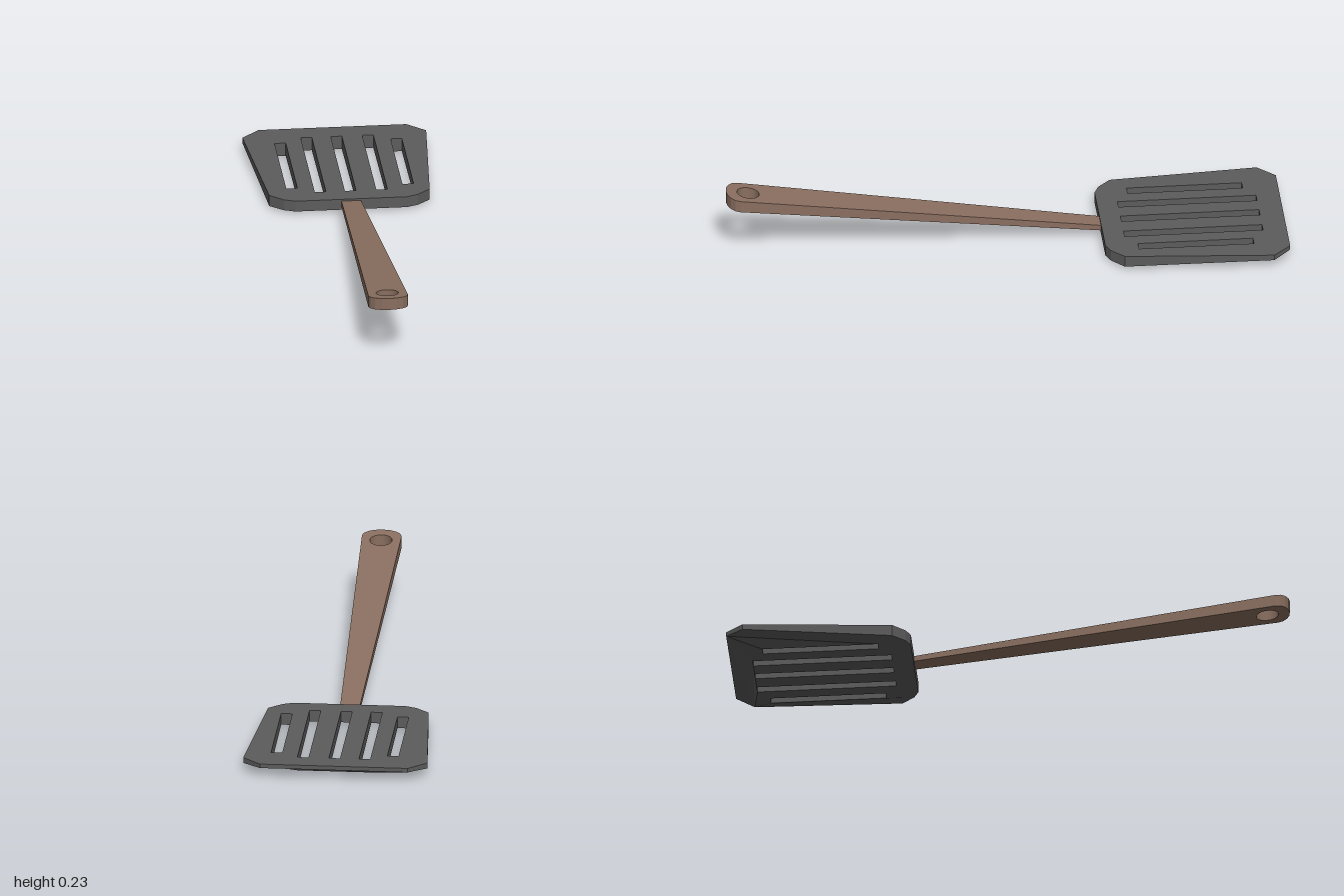
import * as THREE from 'three';

// Outline points are [x, z]; the slab is lifted between bottom(x, z) and top(x, z).
function slab(name, shape, bottom, top, material) {
  const geo = new THREE.ExtrudeGeometry(shape, { depth: 1, bevelEnabled: false, curveSegments: 16 });
  geo.rotateX(-Math.PI / 2);
  const p = geo.attributes.position;
  for (let i = 0; i < p.count; i++) {
    const x = p.getX(i), z = p.getZ(i);
    p.setY(i, p.getY(i) > 0.5 ? top(x, z) : bottom(x, z));
  }
  geo.computeVertexNormals();
  const mesh = new THREE.Mesh(geo, material);
  mesh.name = name;
  return mesh;
}

const toPoints = (pts) => pts.map(([x, z]) => new THREE.Vector2(x, -z));

export function createModel() {
  const group = new THREE.Group();
  group.name = 'spatula';
  const darkGrey = new THREE.MeshStandardMaterial({ color: 0x5c5c5c, flatShading: true });
  darkGrey.name = 'dark grey';
  const brown = new THREE.MeshStandardMaterial({ color: 0x8a6f60, flatShading: true });
  brown.name = 'brown';

  // Blade: mirrored outline with clipped corners
  const half = [[0.2, -0.343], [0.24, -0.36], [0.288, -0.405], [0.33, -0.937], [0.265, -1]];
  const mirrored = half.map(([x, z]) => [-x, z]).reverse();
  const blade = new THREE.Shape(toPoints([...half, ...mirrored]));

  // Five slots, the outer pair shorter
  [-0.201, -0.103, 0.005, 0.118, 0.216].forEach((x, i) => {
    const outer = i === 0 || i === 4;
    const front = outer ? -0.46 : -0.418, back = outer ? -0.873 : -0.915, w = 0.02;
    blade.holes.push(new THREE.Path(toPoints([[x - w, front], [x - w, back], [x + w, back], [x + w, front]])));
  });

  // Underside rises to a thin edge at the tip
  const underside = (x, z) => z < -0.99 ? 0.035 : z < -0.93 ? 0.03
    : 0.01 * Math.max(0, (z + 0.9) / 0.56);
  group.add(slab('blade', blade, underside, () => 0.05, darkGrey));

  // Handle: tapered, rising towards a rounded end with a hanging hole
  const outline = [[0.035, -0.35], [-0.035, -0.35]];
  for (let i = 0; i <= 8; i++) {
    const a = Math.PI * i / 8;
    outline.push([-0.071 * Math.cos(a), 0.953 + 0.047 * Math.sin(a)]);
  }
  const handle = new THREE.Shape(toPoints(outline));
  const hole = new THREE.Path();
  hole.absarc(0, -0.92, 0.04, 0, Math.PI * 2, true);
  handle.holes.push(hole);
  const rise = (from, to) => (x, z) => THREE.MathUtils.mapLinear(z, -0.343, 1, from, to);
  group.add(slab('handle', handle, rise(0.023, 0.19), rise(0.043, 0.234), brown));

  return group;
}
